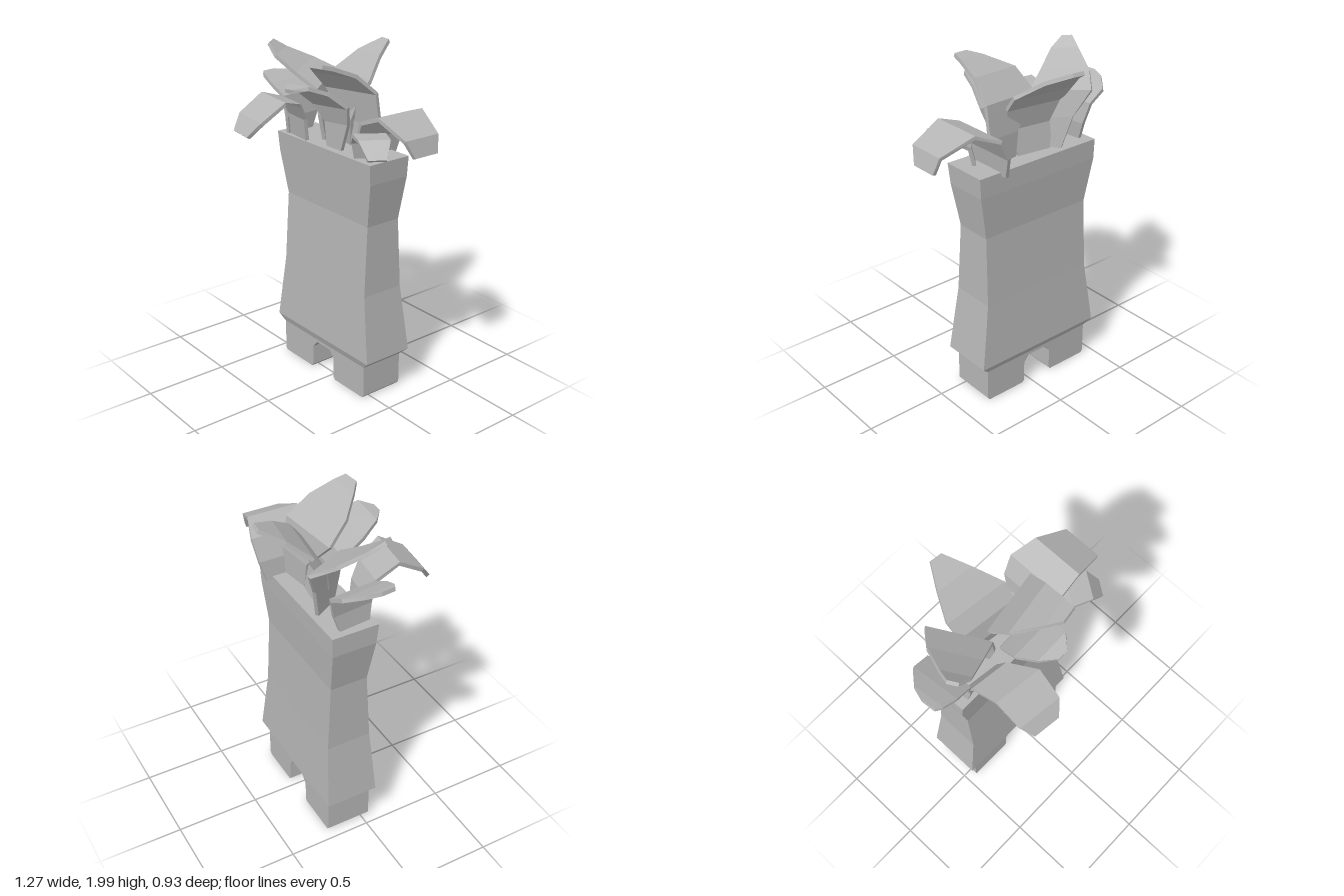
import * as THREE from 'three';

const grey = new THREE.MeshStandardMaterial({ color: 0xb4b4b4, flatShading: true });
grey.name = 'grey';

// Closed solid through a list of four-cornered rings
function loft(rings) {
  const pos = [], idx = [];
  rings.forEach(r => r.forEach(p => pos.push(p.x, p.y, p.z)));
  for (let r = 0; r < rings.length - 1; r++) {
    for (let i = 0; i < 4; i++) {
      const a = r * 4 + i, b = r * 4 + (i + 1) % 4;
      idx.push(a, b, b + 4, a, b + 4, a + 4);
    }
  }
  const e = (rings.length - 1) * 4;
  idx.push(0, 2, 1, 0, 3, 2, e, e + 1, e + 2, e, e + 2, e + 3);
  const g = new THREE.BufferGeometry();
  g.setAttribute('position', new THREE.Float32BufferAttribute(pos, 3));
  g.setIndex(idx);
  const flat = g.toNonIndexed();
  flat.computeVertexNormals();
  return flat;
}

function part(name, geometry) {
  const m = new THREE.Mesh(geometry, grey);
  m.name = name;
  return m;
}

// Bent leaf: rows of [x, y, z, half width] along the midrib, side = width direction
function leaf(name, side, rows) {
  const L = new THREE.Vector3(...side).normalize();
  const mids = rows.map(r => new THREE.Vector3(r[0], r[1], r[2]));
  const rings = rows.map((r, i) => {
    const t = mids[Math.min(i + 1, rows.length - 1)].clone().sub(mids[Math.max(i - 1, 0)]);
    const n = t.cross(L).normalize().multiplyScalar(0.011);
    const a = mids[i].clone().addScaledVector(L, -r[3]);
    const b = mids[i].clone().addScaledVector(L, r[3]);
    return [a.clone().sub(n), b.clone().sub(n), b.clone().add(n), a.clone().add(n)];
  });
  return part(name, loft(rings));
}

export function createModel() {
  const model = new THREE.Group();
  model.name = 'plantedPot';

  // Waisted planter body: y, left x, right x, back z, front z
  const levels = [
    [0.205, -0.44, 0.33, -0.228, 0.05],
    [0.25, -0.48, 0.377, -0.252, 0.067],
    [0.65, -0.425, 0.32, -0.225, 0.045],
    [1.07, -0.42, 0.312, -0.205, 0.02],
    [1.33, -0.468, 0.357, -0.222, 0.043],
    [1.45, -0.47, 0.365, -0.225, 0.055],
  ];
  model.add(part('planterBody', loft(levels.map(([y, x0, x1, z0, z1]) =>
    [[x0, z1], [x1, z1], [x1, z0], [x0, z0]].map(([x, z]) => new THREE.Vector3(x, y, z))))));

  // Two feet joined by an arch with cut corners
  const outline = [
    [-0.425, 0], [-0.165, 0], [-0.153, 0.015], [-0.153, 0.14], [-0.115, 0.185], [0.01, 0.185],
    [0.047, 0.14], [0.047, 0.015], [0.06, 0], [0.315, 0], [0.327, 0.015], [0.327, 0.21],
    [-0.437, 0.21], [-0.437, 0.015],
  ].map(p => new THREE.Vector2(...p));
  const feet = new THREE.ExtrudeGeometry(new THREE.Shape(outline), { depth: 0.275, bevelEnabled: false });
  feet.translate(0, 0, -0.227);
  model.add(part('feet', feet));

  // Leaves
  const leaves = new THREE.Group();
  leaves.name = 'leaves';
  leaves.add(
    leaf('largeLeftLeaf', [0, 0, 1], [
      [0.21, 1.43, -0.13, 0.13], [0.225, 1.55, -0.13, 0.165], [0.285, 1.665, -0.125, 0.18],
      [0.42, 1.715, -0.105, 0.155], [0.6, 1.63, -0.09, 0.115], [0.625, 1.54, -0.1, 0.08]]),
    leaf('smallLeftLeaf', [-0.57, 0, 0.82], [
      [0.24, 1.43, -0.02, 0.06], [0.26, 1.55, 0, 0.075], [0.35, 1.615, 0.05, 0.09],
      [0.45, 1.615, 0.1, 0.085], [0.51, 1.53, 0.13, 0.05]]),
    leaf('droopingFrontLeaf', [1, 0, 0.13], [
      [-0.3, 1.43, 0.02, 0.09], [-0.3, 1.58, 0.04, 0.1], [-0.29, 1.67, 0.09, 0.11],
      [-0.245, 1.72, 0.24, 0.14], [-0.25, 1.63, 0.39, 0.13], [-0.26, 1.55, 0.45, 0.08]]),
    leaf('smallFrontLeaf', [1, 0.1, 0], [
      [0, 1.43, 0, 0.06], [0.02, 1.6, 0, 0.1], [0, 1.7, 0.03, 0.15],
      [-0.02, 1.79, 0.14, 0.14], [-0.01, 1.835, 0.25, 0.1], [0, 1.825, 0.315, 0.03]]),
    leaf('tallFrontLeaf', [0.99, 0.05, -0.14], [
      [0.12, 1.43, -0.12, 0.09], [0.12, 1.6, -0.12, 0.11], [0.04, 1.78, -0.08, 0.19],
      [0.045, 1.89, 0.04, 0.16], [0.1, 1.95, 0.17, 0.085], [0.13, 1.97, 0.23, 0.045]]),
    leaf('tallBackLeaf', [0.99, 0, 0.13], [
      [-0.09, 1.43, -0.13, 0.1], [-0.09, 1.6, -0.1, 0.14], [-0.09, 1.73, -0.13, 0.18],
      [-0.09, 1.82, -0.2, 0.185], [-0.1, 1.92, -0.33, 0.11], [-0.1, 1.985, -0.455, 0.035]]),
    leaf('tallRightLeaf', [0.53, -0.12, 0.85], [
      [-0.2, 1.43, -0.12, 0.08], [-0.22, 1.62, -0.12, 0.13], [-0.265, 1.77, -0.15, 0.175],
      [-0.37, 1.84, -0.07, 0.14], [-0.46, 1.92, 0.03, 0.08], [-0.51, 1.975, 0.065, 0.03]]),
    leaf('lowRightLeaf', [0.1, 0, 1], [
      [-0.41, 1.43, -0.06, 0.09], [-0.4, 1.55, -0.07, 0.12], [-0.42, 1.67, -0.08, 0.14],
      [-0.52, 1.725, -0.07, 0.14], [-0.6, 1.76, -0.03, 0.09], [-0.63, 1.77, 0, 0.04]]),
  );
  model.add(leaves);
  return model;
}
